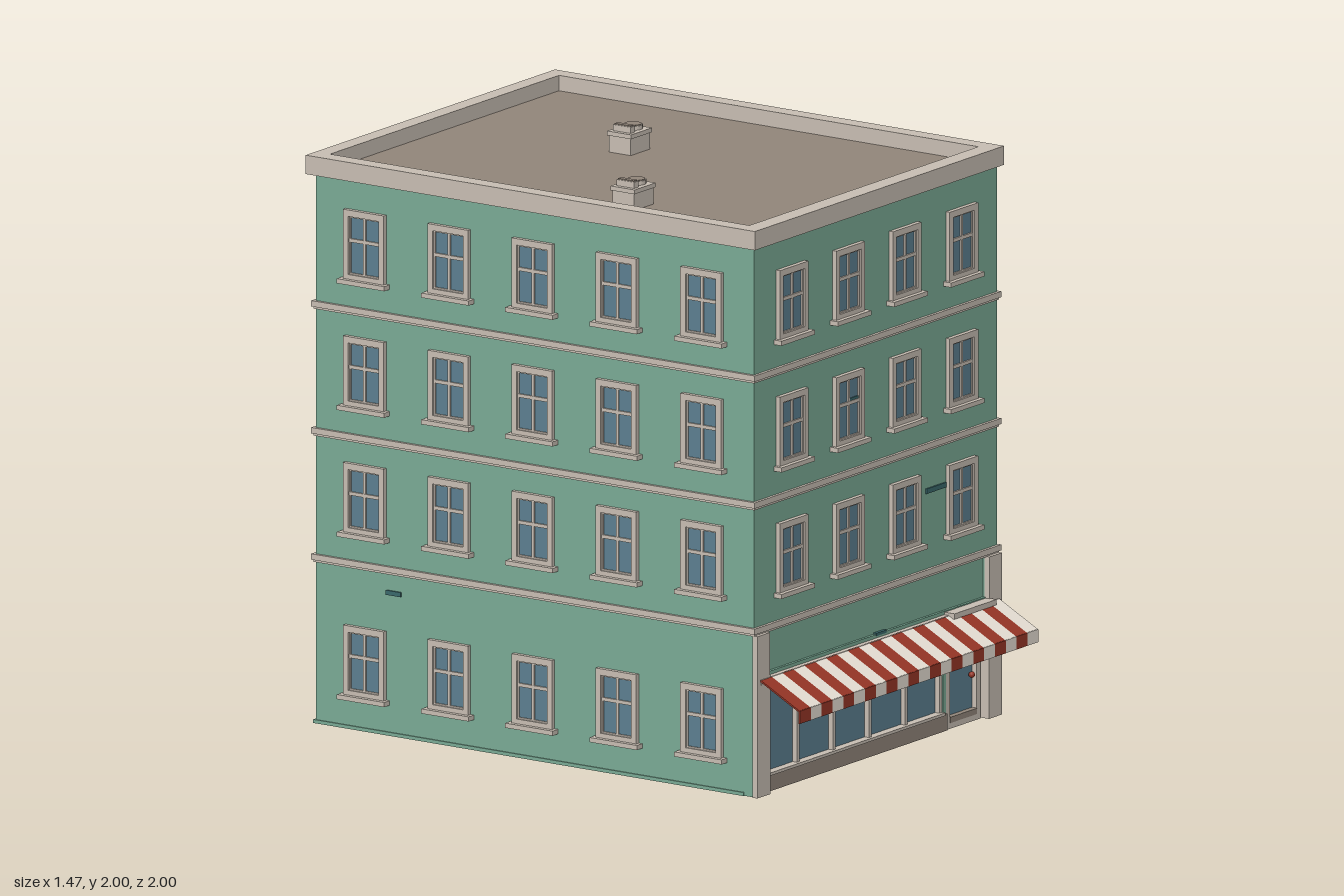
import * as THREE from 'three';

const mat = (name, color) => {
  const m = new THREE.MeshStandardMaterial({ color });
  m.name = name;
  return m;
};

export function createModel() {
  const wall = mat('green wall', 0x7aab95);
  const trim = mat('stone trim', 0xc8beb3);
  const glass = mat('window glass', 0x5c7f90);
  const taupe = mat('roof taupe', 0x92867a);
  const red = mat('awning red', 0x963526);
  const white = mat('awning white', 0xe6dfd4);
  const brick = mat('dark brick', 0x3a686c);

  const root = new THREE.Group();
  root.name = 'shopBuilding';

  const add = (parent, name, geometry, material, x = 0, y = 0, z = 0) => {
    const m = new THREE.Mesh(geometry, material);
    m.name = name;
    m.position.set(x, y, z);
    parent.add(m);
    return m;
  };
  // Box given by its limits on each axis
  const box = (parent, name, material, x0, x1, y0, y1, z0, z1) =>
    add(parent, name, new THREE.BoxGeometry(x1 - x0, y1 - y0, z1 - z0), material,
      (x0 + x1) / 2, (y0 + y1) / 2, (z0 + z1) / 2);
  // Rectangular ring, extruded along +z
  const rect = (P, x0, x1, y0, y1) => {
    const p = new P();
    p.moveTo(x0, y0);
    p.lineTo(x1, y0);
    p.lineTo(x1, y1);
    p.lineTo(x0, y1);
    p.closePath();
    return p;
  };
  const ring = (outer, inner, depth) => {
    const s = rect(THREE.Shape, ...outer);
    s.holes.push(rect(THREE.Path, ...inner));
    return new THREE.ExtrudeGeometry(s, { depth, bevelEnabled: false });
  };

  // Main volumes: the ground floor is set back behind the shop front
  box(root, 'upperWalls', wall, -0.705, 0.705, 0.555, 1.9, -0.97, 0.82);
  box(root, 'groundWalls', wall, -0.705, 0.705, 0, 0.555, -0.97, 0.78);
  box(root, 'plinth', wall, -0.71, 0.71, 0, 0.012, -0.978, 0.78);
  box(root, 'signPanel', wall, -0.637, 0.637, 0.41, 0.555, 0.78, 0.812);
  box(root, 'signLedge', wall, -0.637, 0.637, 0.405, 0.417, 0.78, 0.822);
  for (const s of [-1, 1]) {
    const a = s * 0.705, b = s * 0.637;
    box(root, 'sideWallEnd', wall, Math.min(a, b), Math.max(a, b), 0, 0.555, 0.78, 0.82);
    const c = s * 0.711;
    box(root, 'pilaster', trim, Math.min(c, b), Math.max(c, b), 0, 0.557, 0.818, 0.838);
    box(root, 'pilasterReveal', trim, Math.min(b, s * 0.634), Math.max(b, s * 0.634), 0, 0.41, 0.78, 0.838);
  }

  // Belt courses between floors, each with a thinner lip below
  for (const y of [0.555, 0.99, 1.427]) {
    box(root, 'beltCourse', trim, -0.716, 0.716, y + 0.008, y + 0.028, -0.982, 0.831);
    box(root, 'beltLip', trim, -0.71, 0.71, y, y + 0.008, -0.976, 0.825);
  }

  // Cornice and parapet ring around the flat roof
  const cornice = add(root, 'parapet',
    ring([-0.724, 0.724, -0.837, 0.998], [-0.665, 0.665, -0.773, 0.94], 0.065), trim, 0, 1.89, 0);
  cornice.rotation.x = -Math.PI / 2;
  box(root, 'roof', taupe, -0.67, 0.67, 1.89, 1.902, -0.945, 0.778);

  // Rooftop ventilation units
  for (const [x, z] of [[0.125, -0.272], [-0.49, 0.175]]) {
    const unit = new THREE.Group();
    unit.name = 'roofUnit';
    unit.position.set(x, 1.9, z);
    root.add(unit);
    box(unit, 'unitBody', trim, -0.056, 0.056, 0, 0.068, -0.044, 0.044);
    box(unit, 'unitLid', trim, -0.061, 0.061, 0.06, 0.075, -0.049, 0.049);
    add(unit, 'fanHousing', new THREE.CylinderGeometry(0.033, 0.033, 0.014, 16), trim, 0.02, 0.082, 0);
    add(unit, 'fanGrille', new THREE.CylinderGeometry(0.029, 0.029, 0.003, 16), taupe, 0.02, 0.0905, 0);
    box(unit, 'ventPipe', trim, -0.045, -0.02, 0.075, 0.096, -0.036, 0.036);
    box(unit, 'ventSlot', taupe, -0.042, -0.023, 0.096, 0.1, -0.032, 0.032);
  }

  // Sash window; its own +z points out of the wall
  const frameGeo = ring([-0.083, 0.083, 0, 0.24], [-0.062, 0.062, 0.018, 0.218], 0.016);
  const sashGeo = ring([-0.062, 0.062, 0.018, 0.218], [-0.057, 0.057, 0.023, 0.213], 0.009);
  const paneGeo = new THREE.BoxGeometry(0.126, 0.204, 0.004);
  const barV = new THREE.BoxGeometry(0.01, 0.2, 0.009);
  const barH = new THREE.BoxGeometry(0.124, 0.012, 0.01);
  const sillGeo = new THREE.BoxGeometry(0.194, 0.016, 0.032);
  const windowAt = (x, y, z, turn) => {
    const w = new THREE.Group();
    w.name = 'window';
    w.position.set(x, y, z);
    w.rotation.y = turn;
    add(w, 'windowFrame', frameGeo, trim);
    add(w, 'windowSash', sashGeo, trim);
    add(w, 'windowPane', paneGeo, glass, 0, 0.118, 0.002);
    add(w, 'verticalBar', barV, trim, 0, 0.118, 0.0045);
    add(w, 'crossBar', barH, trim, 0, 0.135, 0.005);
    add(w, 'windowSill', sillGeo, trim, 0, -0.006, 0.016);
    root.add(w);
  };
  const floors = [0.118, 0.678, 1.114, 1.55];
  floors.forEach((y, i) => {
    if (i > 0) for (const x of [-0.493, -0.165, 0.163, 0.492]) windowAt(x, y, 0.82, 0);
    for (const z of [0.613, 0.267, -0.077, -0.42, -0.765]) {
      windowAt(0.705, y, z, Math.PI / 2);
      windowAt(-0.705, y, z, -Math.PI / 2);
    }
  });

  // Odd dark bricks standing proud of the walls
  box(root, 'frontBrick', brick, 0.29, 0.405, 0.843, 0.86, 0.818, 0.826);
  box(root, 'frontBrick', brick, -0.165, -0.11, 1.252, 1.264, 0.818, 0.828);
  box(root, 'frontBrick', brick, 0, 0.06, 0.412, 0.422, 0.81, 0.824);
  box(root, 'sideBrick', brick, 0.702, 0.711, 1.232, 1.25, -0.28, -0.16);
  box(root, 'sideBrick', brick, 0.702, 0.711, 0.484, 0.5, -0.455, -0.392);
  box(root, 'sideBrick', brick, -0.711, -0.702, 0.484, 0.5, -0.68, -0.62);

  // Shop window with mullions on a low base
  box(root, 'shopBase', taupe, -0.637, 0.425, 0, 0.058, 0.78, 0.815);
  box(root, 'shopGlass', glass, -0.637, 0.41, 0.058, 0.41, 0.78, 0.788);
  box(root, 'shopSill', trim, -0.637, 0.41, 0.054, 0.064, 0.78, 0.818);
  box(root, 'shopHead', trim, -0.637, 0.41, 0.392, 0.405, 0.78, 0.81);
  for (const x of [-0.629, -0.428, -0.219, -0.01, 0.2, 0.4])
    box(root, 'shopMullion', trim, x - 0.007, x + 0.007, 0.058, 0.405, 0.78, 0.806);

  // Shop door
  box(root, 'doorSurround', wall, 0.407, 0.425, 0, 0.41, 0.78, 0.81);
  add(root, 'doorFrame', ring([0.425, 0.625, 0, 0.405], [0.448, 0.603, 0.035, 0.38], 0.025), trim, 0, 0, 0.785);
  box(root, 'doorKickPlate', taupe, 0.448, 0.603, 0.02, 0.04, 0.785, 0.812);
  box(root, 'doorGlass', glass, 0.445, 0.606, 0.03, 0.385, 0.783, 0.791);
  add(root, 'doorHandle', new THREE.SphereGeometry(0.011, 12, 8), red, 0.577, 0.16, 0.808);
  box(root, 'doorHood', trim, 0.4, 0.645, 0.394, 0.413, 0.79, 0.862);

  // Striped awning: sloping canvas and a hanging valance
  const count = 22, step = 1.384 / count;
  const z0 = 0.835, y0 = 0.402, z1 = 0.995, y1 = 0.318;
  const slopeGeo = new THREE.BoxGeometry(step, 0.006, Math.hypot(z1 - z0, y1 - y0));
  const valanceGeo = new THREE.BoxGeometry(step, 0.044, 0.006);
  for (let i = 0; i < count; i++) {
    const x = -0.692 + (i + 0.5) * step;
    const m = i % 2 ? white : red;
    add(root, 'awningStripe', slopeGeo, m, x, (y0 + y1) / 2, (z0 + z1) / 2)
      .rotation.x = Math.atan2(y0 - y1, z1 - z0);
    add(root, 'awningValance', valanceGeo, m, x, 0.298, 0.996);
  }
  box(root, 'awningRail', trim, -0.69, 0.69, 0.386, 0.404, 0.81, 0.84);

  return root;
}
